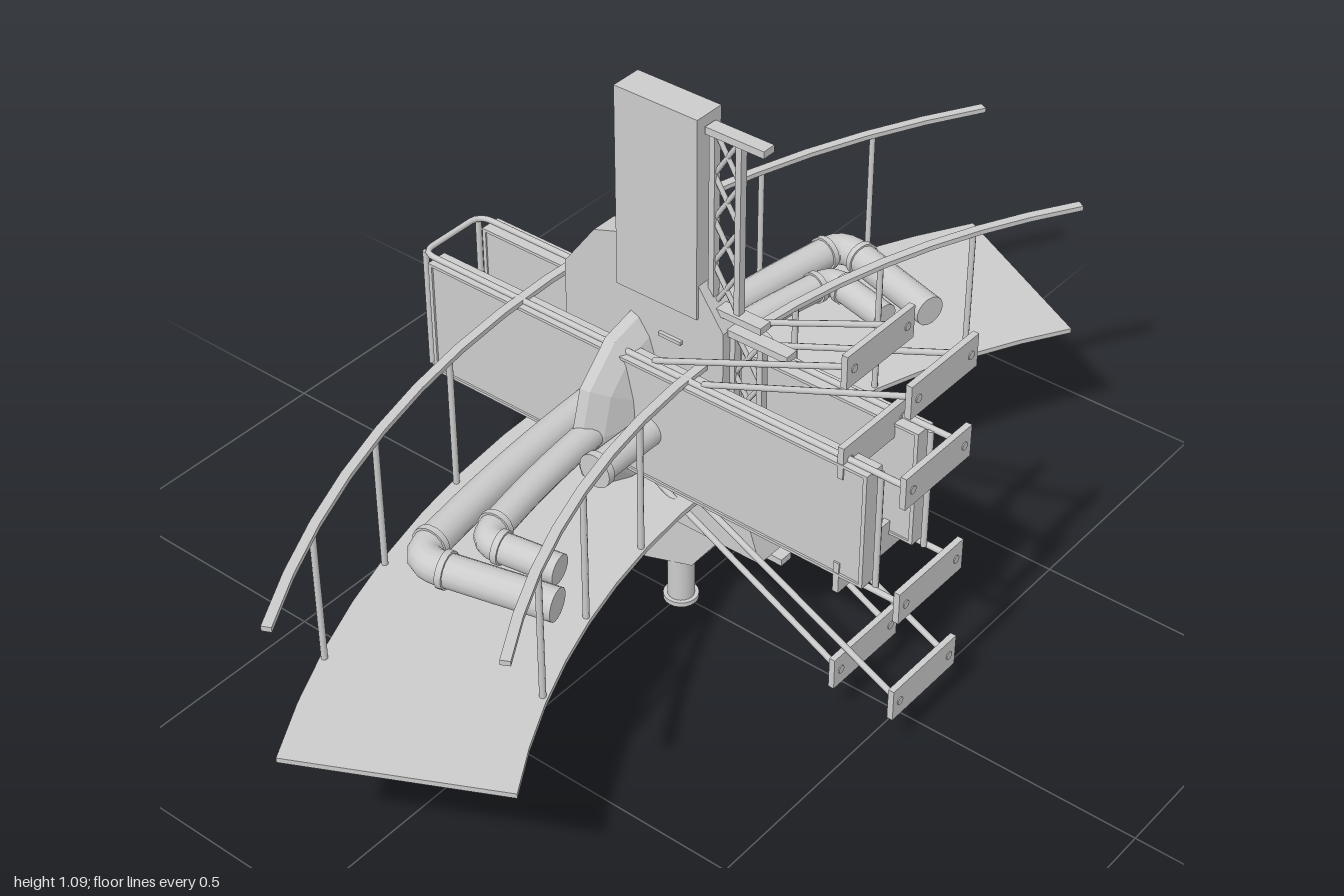
import * as THREE from 'three';

const material = new THREE.MeshStandardMaterial({ color: 0xcccccc, side: THREE.DoubleSide });
const flatMaterial = new THREE.MeshStandardMaterial({ color: 0xcccccc, flatShading: true, side: THREE.DoubleSide });
const V = (x, y, z) => new THREE.Vector3(x, y, z);

export function createModel() {
  const root = new THREE.Group();

  const add = (name, geometry, x = 0, y = 0, z = 0, mat = material) => {
    const mesh = new THREE.Mesh(geometry, mat);
    mesh.name = name;
    mesh.position.set(x, y, z);
    root.add(mesh);
    return mesh;
  };
  // Box given by its extents on each axis
  const box = (name, [x0, x1], [y0, y1], [z0, z1]) =>
    add(name, new THREE.BoxGeometry(x1 - x0, y1 - y0, z1 - z0), (x0 + x1) / 2, (y0 + y1) / 2, (z0 + z1) / 2);
  // Round rod between two points
  const rod = (name, a, b, r = 0.006, sides = 8) => {
    const mesh = add(name, new THREE.CylinderGeometry(r, r, a.distanceTo(b), sides));
    mesh.position.copy(a).add(b).multiplyScalar(0.5);
    mesh.quaternion.setFromUnitVectors(V(0, 1, 0), b.clone().sub(a).normalize());
    return mesh;
  };
  // Upright plate cut from an outline in x and y, centred on z = 0
  const plate = (name, points, depth) => {
    const shape = new THREE.Shape(points.map(([x, y]) => new THREE.Vector2(x, y)));
    return add(name, new THREE.ExtrudeGeometry(shape, { depth, bevelEnabled: false }), 0, 0, -depth / 2, flatMaterial);
  };

  // Hull disc and mast
  plate('hull', [[-0.065, 0.81], [-0.175, 0.772], [-0.245, 0.676], [-0.245, 0.215], [-0.175, 0.117],
    [-0.065, 0.08], [0.047, 0.117], [0.115, 0.215], [0.115, 0.676], [0.047, 0.772]], 0.054);
  box('mast', [-0.12, 0.06], [0.685, 1.09], [-0.032, 0.032]);
  plate('lowerHousing', [[-0.01, 0.235], [0.225, 0.235], [0.19, 0.335], [0.03, 0.335]], 0.11);
  for (const s of [1, -1]) {
    box('upperVent', [-0.025, 0.025], [0.615, 0.622], s > 0 ? [0.02, 0.034] : [-0.034, -0.02]);
    box('lowerVent', [-0.025, 0.005], [0.264, 0.27], s > 0 ? [0.02, 0.034] : [-0.034, -0.02]);
  }

  // Bottom pipe
  rod('bottomPipe', V(0, 0, 0), V(0, 0.2, 0), 0.026, 20);
  rod('bottomFlange', V(0, 0, 0), V(0, 0.01, 0), 0.034, 20);

  // Dome, turned about the x axis
  const profile = [[0, 0], [0.195, 0], [0.188, 0.018], [0.155, 0.042], [0.1, 0.06], [0, 0.072]];
  const dome = new THREE.LatheGeometry(profile.map(([r, h]) => new THREE.Vector2(r, h)), 12);
  dome.rotateZ(-Math.PI / 2);
  add('dome', dome, -0.092, 0.448, 0, flatMaterial);

  // Lattice trusses beside the mast and the hull
  const truss = (name, x0, x1, y0, y1, bays, barEnd) => {
    for (const x of [x0, x1]) box(name + 'Upright', [x - 0.006, x + 0.006], [y0, y1], [-0.008, 0.008]);
    for (const y of [y0, y1]) box(name + 'Arm', [x0 - 0.01, barEnd], [y - 0.007, y + 0.007], [-0.014, 0.014]);
    const h = (y1 - y0) / bays;
    for (let i = 0; i < bays; i++) {
      const a = y0 + i * h;
      rod(name + 'Brace', V(x0, a, 0), V(x1, a + h, 0), 0.005, 6);
      rod(name + 'Brace', V(x1, a, 0), V(x0, a + h, 0), 0.005, 6);
    }
  };
  truss('mastTruss', 0.072, 0.128, 0.706, 1.063, 4, 0.185);
  truss('hullTruss', 0.12, 0.18, 0.22, 0.672, 5, 0.243);

  // Curved walkway: bands between two concentric arcs
  const CX = 1.57;
  const OUTER = 1.89;
  const INNER = 1.49;
  const endAngle = (r) => THREE.MathUtils.degToRad(31.75 + (OUTER - r) * 3);
  const band = (name, r0, r1, y, height) => {
    const n = 16;
    const points = [];
    for (const [r, dir] of [[r0, 1], [r1, -1]]) {
      for (let i = 0; i <= n; i++) {
        const a = endAngle(r) * dir * (2 * i / n - 1);
        points.push(new THREE.Vector2(CX - r * Math.cos(a), r * Math.sin(a)));
      }
    }
    const geometry = new THREE.ExtrudeGeometry(new THREE.Shape(points), { depth: height, bevelEnabled: false });
    geometry.rotateX(-Math.PI / 2);
    add(name, geometry, 0, y, 0);
  };
  band('walkwayDeck', INNER, OUTER, 0.3, 0.01);
  band('outerHandrail', OUTER - 0.018, OUTER, 0.585, 0.01);
  band('innerHandrail', INNER, INNER + 0.018, 0.585, 0.01);
  for (const s of [1, -1]) {
    for (const [r, places] of [[OUTER - 0.009, [0.29, 0.535, 0.775]], [INNER + 0.009, [0.22, 0.42, 0.615]]]) {
      for (const z of places) {
        const x = CX - Math.sqrt(r * r - z * z);
        rod('handrailPost', V(x, 0.305, s * z), V(x, 0.587, s * z));
      }
    }
  }

  // Ducts: a bowed run with an elbow and a short outlet at both ends
  const duct = (name, r, x0, zElbow, xElbow, xEnd, zEnd) => {
    const bow = (z) => x0 + (xElbow - x0) * (z / zElbow) ** 2;
    const path = new THREE.CurvePath();
    const run = [];
    for (let i = -4; i <= 4; i++) run.push(V(bow(zElbow * 0.93 * i / 4), 0.445, zElbow * 0.93 * i / 4));
    const outlet = (s) => {
      const tip = V(xEnd, 0.438, s * zEnd);
      const corner = V(xElbow, 0.445, s * zElbow);
      return { tip, corner, start: corner.clone().lerp(tip, 0.2) };
    };
    const a = outlet(-1);
    const b = outlet(1);
    path.add(new THREE.LineCurve3(a.tip, a.start));
    path.add(new THREE.QuadraticBezierCurve3(a.start, a.corner, run[0]));
    path.add(new THREE.CatmullRomCurve3(run));
    path.add(new THREE.QuadraticBezierCurve3(run[8], b.corner, b.start));
    path.add(new THREE.LineCurve3(b.start, b.tip));
    add(name, new THREE.TubeGeometry(path, 120, r, 14));
    for (const e of [a, b]) {
      const along = e.tip.clone().sub(e.start).normalize();
      rod(name + 'Collar', e.start, e.start.clone().addScaledVector(along, 0.012), r + 0.004, 16);
      rod(name + 'End', e.tip.clone().addScaledVector(along, -0.006), e.tip, r, 16);
    }
    for (const i of [0, 8]) {
      const c = run[i];
      const inward = run[i ? 7 : 1].clone().sub(c).normalize();
      rod(name + 'Collar', c, c.clone().addScaledVector(inward, 0.012), r + 0.004, 16);
    }
  };
  duct('outerDuct', 0.031, -0.14, 0.605, -0.085, 0.17, 0.535);
  duct('innerDuct', 0.028, -0.085, 0.495, -0.03, 0.115, 0.465);

  // Cross cylinder through the hull
  rod('crossCylinder', V(0, 0.45, -0.235), V(0, 0.45, 0.235), 0.029, 20);
  for (const s of [1, -1]) rod('crossCylinderCap', V(0, 0.45, s * 0.225), V(0, 0.45, s * 0.24), 0.034, 20);

  // Long side slabs with a raised rim
  for (const s of [1, -1]) {
    const zRange = (a, b) => (s > 0 ? [a, b] : [-b, -a]);
    box('sideSlab', [-0.515, 0.47], [0.347, 0.582], zRange(0.055, 0.092));
    for (const x of [-0.52, 0.467]) box('slabRim', [x, x + 0.008], [0.342, 0.587], zRange(0.052, 0.096));
    for (const y of [0.342, 0.581]) box('slabRim', [-0.52, 0.475], [y, y + 0.006], zRange(0.052, 0.096));
    for (const x of [-0.548, 0.487]) rod('frameUpright', V(x, 0.335, s * 0.072), V(x, 0.59, s * 0.072));
  }

  // Frame rails, each a loop with rounded corners at the closed end
  for (const y of [0.335, 0.59]) {
    const rail = new THREE.CurvePath();
    const line = (a, b) => rail.add(new THREE.LineCurve3(a, b));
    line(V(0.545, y, 0.078), V(-0.52, y, 0.078));
    rail.add(new THREE.QuadraticBezierCurve3(V(-0.52, y, 0.078), V(-0.549, y, 0.078), V(-0.549, y, 0.05)));
    line(V(-0.549, y, 0.05), V(-0.549, y, -0.05));
    rail.add(new THREE.QuadraticBezierCurve3(V(-0.549, y, -0.05), V(-0.549, y, -0.078), V(-0.52, y, -0.078)));
    line(V(-0.52, y, -0.078), V(0.545, y, -0.078));
    add('frameRail', new THREE.TubeGeometry(rail, 220, 0.006, 8));
  }

  // Pads with bolts, and the slanting struts that carry them
  for (const x of [0.418, 0.546]) {
    for (const y of [0.778, 0.588, 0.337, 0.112]) {
      box('pad', [x - 0.005, x + 0.007], [y - 0.033, y + 0.033], [-0.095, 0.095]);
      for (const z of [-0.075, 0.075]) rod('padBolt', V(x - 0.008, y, z), V(x + 0.009, y, z), 0.008, 10);
    }
    const root0 = x < 0.5 ? 0 : 0.11;
    for (const z of [-0.075, 0.075]) {
      rod('upperStrut', V(root0, 0.595, z), V(x, 0.778, z));
      rod('lowerStrut', V(root0, 0.33, z), V(x, 0.112, z));
    }
  }

  return root;
}
